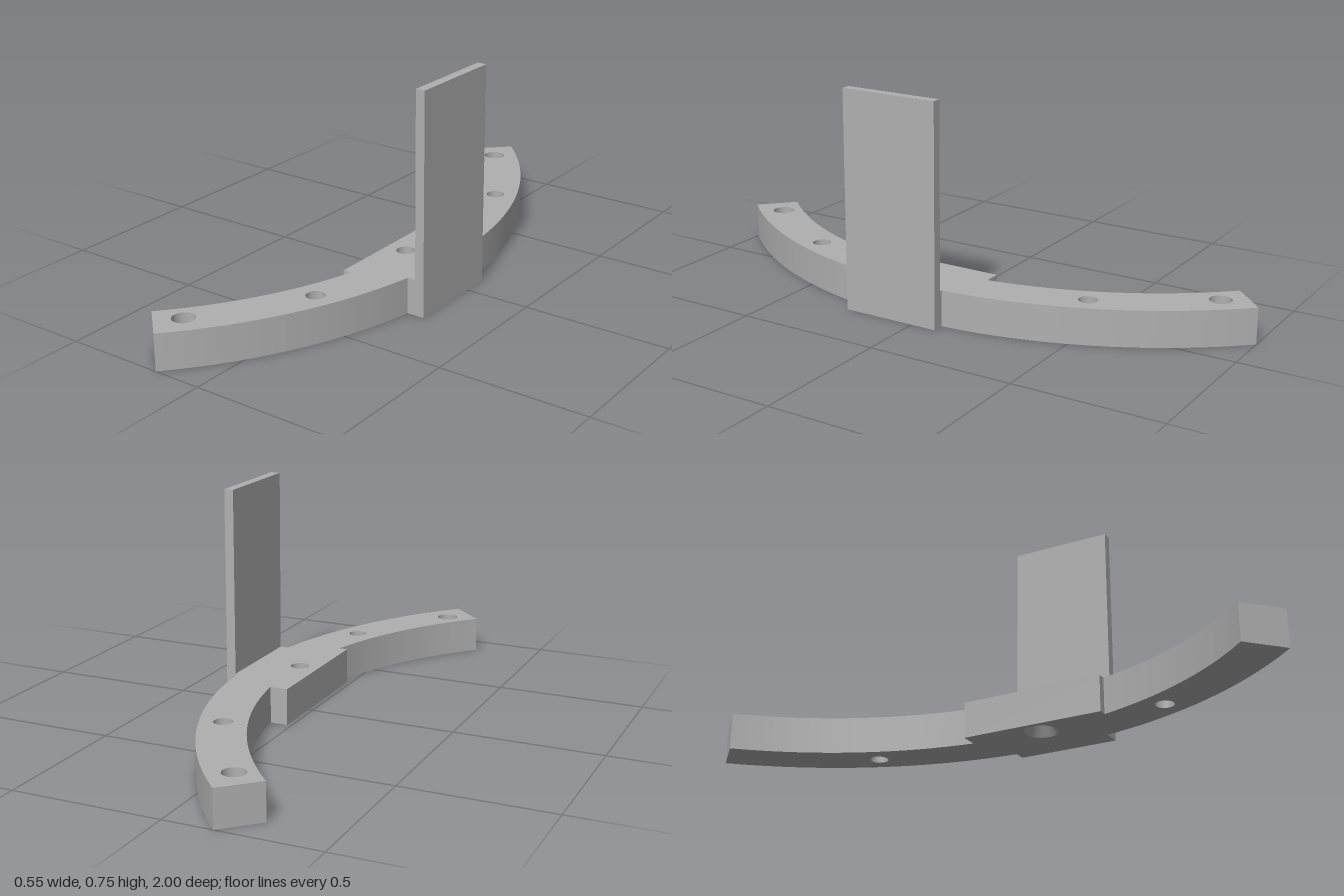
import * as THREE from 'three';
import { toCreasedNormals } from 'three/addons/utils/BufferGeometryUtils.js';

const H = 0.123;                        // thickness of the curved base
const CX = -1.208, RO = 1.445, RI = 1.293, END = 0.764; // arc centre, radii, half angle
const SEG = 48;

// Plan outline, drawn with shape y = -z
function outline() {
  const s = new THREE.Shape();
  const ao = v => Math.asin(v / RO), ai = v => Math.asin(v / RI);
  s.absarc(CX, 0, RO, -END, ao(-0.255), false);
  s.lineTo(0.243, -0.255);
  s.lineTo(0.243, 0.09);
  s.absarc(CX, 0, RO, ao(0.09), END, false);
  s.absarc(CX, 0, RI, END, ai(0.165), true);
  s.lineTo(0.015, 0.165);
  s.lineTo(0.015, -0.325);
  s.absarc(CX, 0, RI, ai(-0.325), -END, true);
  s.closePath();
  return s;
}

function cap(holes) {
  const s = outline();
  for (const [x, z, r] of holes) s.holes.push(new THREE.Path().absarc(x, -z, r, 0, Math.PI * 2, true));
  return new THREE.ShapeGeometry(s, SEG).rotateX(-Math.PI / 2);
}

// Vertical wall around the outline
function wall() {
  const pts = outline().getPoints(SEG), pos = [];
  pts.forEach((p, i) => {
    const q = pts[(i + 1) % pts.length];
    if (p.distanceTo(q) < 1e-6) return;
    const a = [p.x, 0, -p.y], b = [q.x, 0, -q.y], c = [q.x, H, -q.y], d = [p.x, H, -p.y];
    pos.push(...a, ...b, ...c, ...a, ...c, ...d);
  });
  const g = new THREE.BufferGeometry();
  g.setAttribute('position', new THREE.Float32BufferAttribute(pos, 3));
  g.computeVertexNormals();
  return toCreasedNormals(g, 0.4);
}

export function createModel() {
  const group = new THREE.Group();
  const grey = new THREE.MeshStandardMaterial({ color: 0xb0b0b0 });
  const greyInside = new THREE.MeshStandardMaterial({ color: 0xb0b0b0, side: THREE.DoubleSide });
  const add = (name, geo, mat = grey) => {
    const m = new THREE.Mesh(geo, mat);
    m.name = name;
    group.add(m);
    return m;
  };

  const through = [[0.058, -0.523, 0.031], [0.058, 0.523, 0.031]];
  const blind = [[-0.165, -0.875, 0.037], [-0.165, 0.872, 0.037]];
  const mid = [0.085, 0.08];

  // Curved base
  add('baseTop', cap([...through, ...blind, [...mid, 0.031]])).position.y = H;
  const bottom = cap([...through, [...mid, 0.056]]);
  const idx = bottom.index.array;
  for (let i = 0; i < idx.length; i += 3) [idx[i], idx[i + 1]] = [idx[i + 1], idx[i]];
  bottom.computeVertexNormals();
  add('baseBottom', bottom);
  add('baseWall', wall());

  // Hole linings
  const bore = (name, x, z, rTop, rBottom, y0, y1) =>
    add(name, new THREE.CylinderGeometry(rTop, rBottom, y1 - y0, SEG, 1, true), greyInside)
      .position.set(x, (y0 + y1) / 2, z);
  for (const [x, z, r] of through) bore('throughHole', x, z, r, r, 0, H);
  bore('centreHole', ...mid, 0.031, 0.031, 0.05, H);
  bore('countersink', ...mid, 0.031, 0.056, 0, 0.05);
  for (const [x, z, r] of blind) {
    bore('blindHole', x, z, r, r, 0.04, H);
    add('blindHoleFloor', new THREE.CircleGeometry(r, SEG).rotateX(-Math.PI / 2)).position.set(x, 0.04, z);
  }

  // Upright plate on the outer side
  add('uprightPlate', new THREE.BoxGeometry(0.032, 0.75, 0.345)).position.set(0.259, 0.375, 0.0825);
  return group;
}
